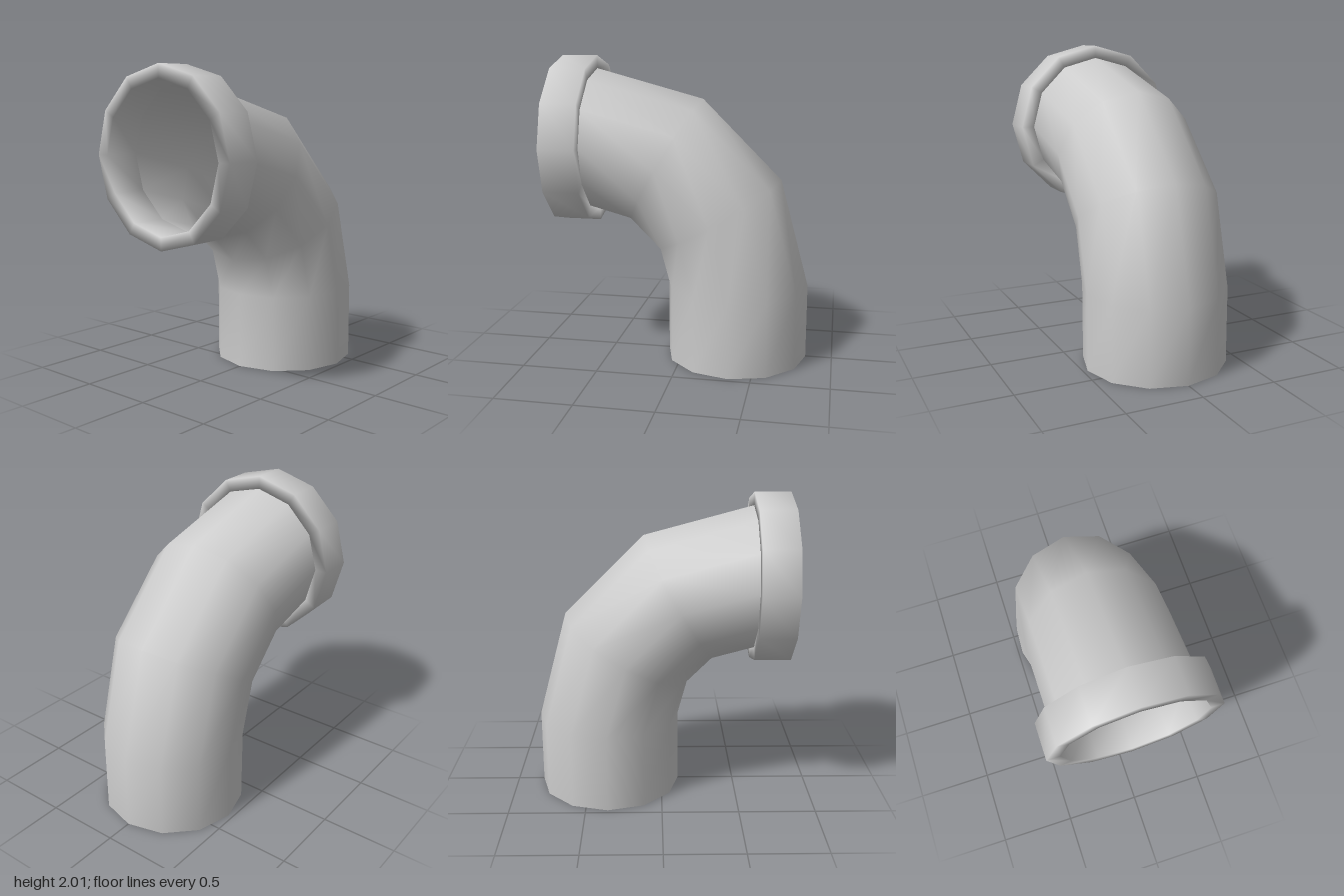
import * as THREE from 'three';

const SIDES = 12;
const PIVOT = { x: -0.595, y: 0.5 }; // centre of the elbow's bend
const BEND = 0.95, PIPE_R = 0.47, COLLAR_R = 0.555;

// Skin over rings. Each ring: turn angle round the pivot, radius, straight offset along the pipe.
// Vertices are shared, so the low-poly form is smoothly shaded.
function sweep(rings) {
  const pos = [], index = [];
  rings.forEach(({ turn, r, offset = 0 }) => {
    const c = Math.cos(turn), s = Math.sin(turn);
    for (let j = 0; j < SIDES; j++) {
      const a = (j / SIDES) * Math.PI * 2;
      const d = BEND + r * Math.cos(a);
      pos.push(PIVOT.x + d * c - s * offset, PIVOT.y + d * s + c * offset, r * Math.sin(a));
    }
  });
  return { pos, index };
}

function skin(rings, closed = false) {
  const { pos, index } = sweep(rings);
  const n = rings.length;
  for (let i = 0; i < (closed ? n : n - 1); i++) {
    const lo = i * SIDES, hi = ((i + 1) % n) * SIDES;
    for (let j = 0; j < SIDES; j++) {
      const k = (j + 1) % SIDES;
      index.push(lo + j, hi + j, lo + k, hi + j, hi + k, lo + k);
    }
  }
  const g = new THREE.BufferGeometry();
  g.setAttribute('position', new THREE.Float32BufferAttribute(pos, 3));
  g.setIndex(index);
  g.computeVertexNormals();
  return g;
}

export function createModel() {
  const group = new THREE.Group();
  group.name = 'pipeElbow';
  const material = new THREE.MeshStandardMaterial({ color: 0xcccccc, side: THREE.DoubleSide });

  // Open pipe: straight foot, then a quarter bend in three steps
  const pipeRings = [{ turn: 0, r: PIPE_R, offset: -0.5 }];
  for (let i = 0; i <= 3; i++) pipeRings.push({ turn: (i * Math.PI) / 6, r: PIPE_R });
  const pipe = new THREE.Mesh(skin(pipeRings), material);
  pipe.name = 'pipe';

  // Thick collar round the upper mouth, a closed rectangular section
  const section = [[PIPE_R, 0], [COLLAR_R, 0], [COLLAR_R, 0.235], [PIPE_R, 0.235]];
  const collarRings = section.map(([r, offset]) => ({ turn: Math.PI / 2, r, offset }));
  const collar = new THREE.Mesh(skin(collarRings, true), material);
  collar.name = 'collar';

  group.add(pipe, collar);
  return group;
}
